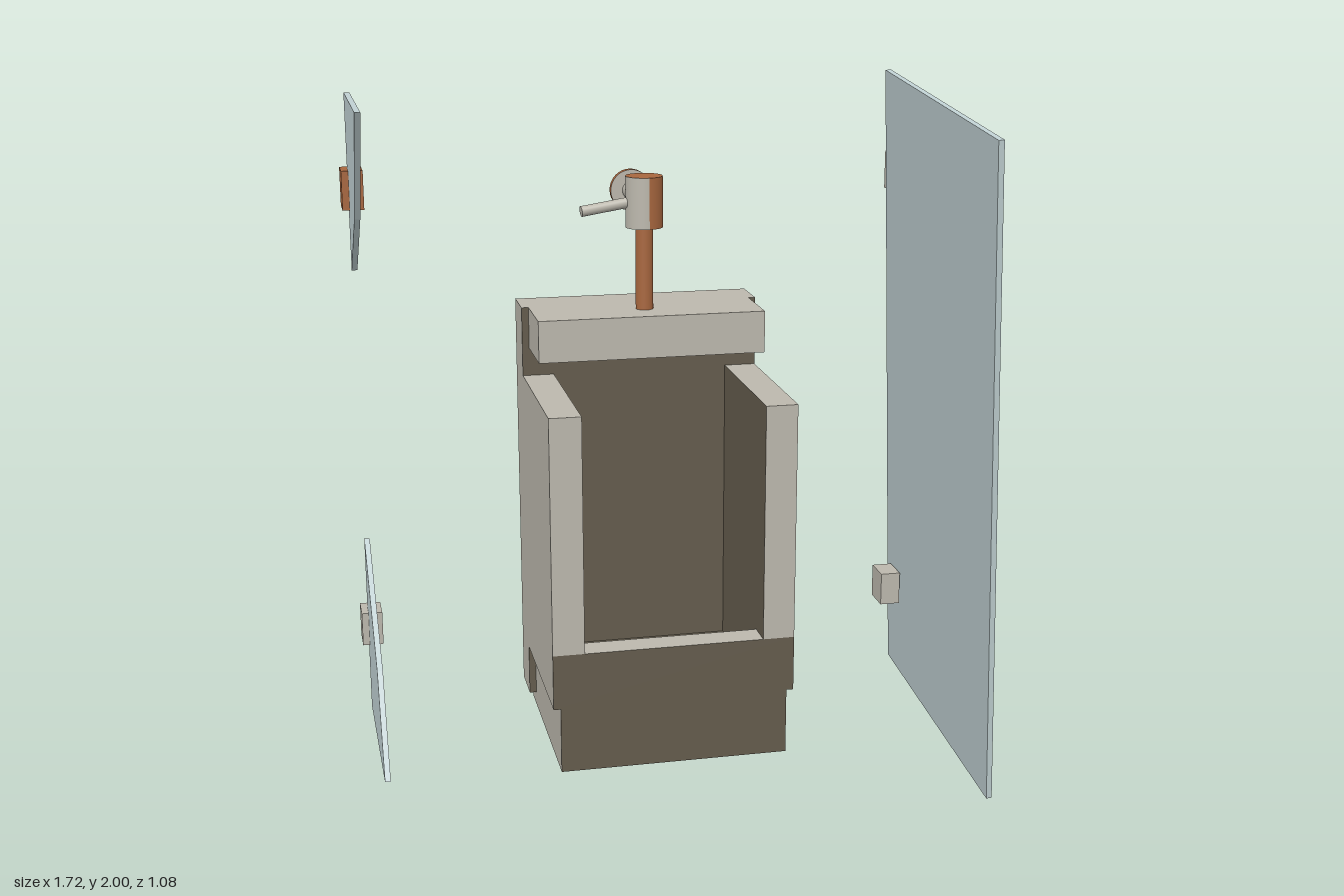
import * as THREE from 'three';

const mat = (name, color, side = THREE.FrontSide) => {
  const m = new THREE.MeshStandardMaterial({ color, side });
  m.name = name;
  return m;
};

export function createModel() {
  const stone = mat('light stone', 0xbcb8ad);
  const dark = mat('dark stone', 0x645c4d);
  const copper = mat('copper', 0xa8673f);
  const glass = mat('pale glass', 0xc0d0d2);

  const root = new THREE.Group();
  const group = (name) => {
    const g = new THREE.Group();
    g.name = name;
    root.add(g);
    return g;
  };
  const add = (parent, name, geometry, material) => {
    const m = new THREE.Mesh(geometry, material);
    m.name = name;
    parent.add(m);
    return m;
  };
  // Box from its extents; faces maps any of px nx py ny pz nz to another material
  const box = (parent, name, [x0, x1], [y0, y1], [z0, z1], base, faces = {}) => {
    const mats = ['px', 'nx', 'py', 'ny', 'pz', 'nz'].map((k) => faces[k] || base);
    const m = add(parent, name, new THREE.BoxGeometry(x1 - x0, y1 - y0, z1 - z0),
      Object.keys(faces).length ? mats : base);
    m.position.set((x0 + x1) / 2, (y0 + y1) / 2, (z0 + z1) / 2);
    return m;
  };
  // Round bar between two points
  const rod = (parent, name, a, b, r, material) => {
    const p = new THREE.Vector3(...a), d = new THREE.Vector3(...b).sub(p);
    const m = add(parent, name, new THREE.CylinderGeometry(r, r, d.length(), 32), material);
    m.position.copy(p).addScaledVector(d, 0.5);
    m.quaternion.setFromUnitVectors(new THREE.Vector3(0, 1, 0), d.normalize());
    return m;
  };

  // Basin cabinet, open at the front above the lip
  const basin = group('basin');
  box(basin, 'plinth', [-0.35, 0.3], [0.12, 0.31], [-0.4, 0.15], stone, { py: dark, ny: dark, pz: dark });
  box(basin, 'backPanel', [-0.37, 0.32], [0.16, 1.35], [-0.46, -0.33], stone, { pz: dark });
  box(basin, 'frontLip', [-0.37, 0.32], [0.31, 0.47], [0.07, 0.15], stone, { pz: dark, nz: dark });
  box(basin, 'topShelf', [-0.35, 0.3], [1.23, 1.35], [-0.33, -0.14], stone);
  for (const [side, x, inner] of [['right', [-0.37, -0.28], 'px'], ['left', [0.23, 0.32], 'nx']]) {
    box(basin, side + 'Wall', x, [0.31, 1.15], [-0.33, 0.07], stone, { [inner]: dark });
    box(basin, side + 'FrontPost', x, [0.47, 1.15], [0.07, 0.15], stone, { [inner]: dark });
  }
  const drain = add(basin, 'drain', new THREE.CylinderGeometry(0.063, 0.063, 0.004, 32), dark);
  drain.position.set(-0.03, 0.312, -0.117);

  // Tap: column, two-coloured head, wall pipe with rosette, lever
  const tap = group('tap');
  const tx = -0.027, tz = -0.25;
  rod(tap, 'tapColumn', [tx, 1.35, tz], [tx, 1.585, tz], 0.025, copper);
  const start = 0.1, sweep = 1.6, r = 0.053;
  const headSide = (name, from, length, m) => {
    const s = add(tap, name, new THREE.CylinderGeometry(r, r, 0.145, 32, 1, true, from, length), m);
    s.position.set(tx, 1.657, tz);
  };
  headSide('tapHeadCopperSide', start, sweep, copper);
  headSide('tapHeadStoneSide', start + sweep, Math.PI * 2 - sweep, stone);
  for (const [name, y, turn, m] of [['tapHeadTop', 1.7295, -1, copper], ['tapHeadBottom', 1.5845, 1, stone]]) {
    const cap = add(tap, name, new THREE.CircleGeometry(r, 32), m);
    cap.position.set(tx, y, tz);
    cap.rotation.x = turn * Math.PI / 2;
  }
  rod(tap, 'wallPipe', [tx, 1.66, tz], [tx, 1.66, -0.44], 0.026, stone);
  rod(tap, 'rosette', [tx, 1.66, -0.44], [tx, 1.66, -0.46], 0.06, [copper, stone, stone]);
  rod(tap, 'lever', [tx, 1.662, -0.254], [-0.21, 1.637, -0.233], 0.015, stone);

  // Large tilted glass pane
  const pane = add(root, 'largePane', new THREE.BoxGeometry(0.016, 1.918, 0.885), glass);
  pane.position.set(0.782, 1.002, 0);
  pane.rotation.set(0.105, 0, 0.071, 'ZXY');

  // Broken glass shards, outlined in (z, y)
  const shard = (name, points) => {
    const shape = new THREE.Shape(points.map(([z, y]) => new THREE.Vector2(-z, y)));
    const geo = new THREE.ExtrudeGeometry(shape, { depth: 0.016, bevelEnabled: false });
    geo.rotateY(Math.PI / 2).translate(-0.84, 0, 0);
    add(root, name, geo, glass);
  };
  shard('upperShard', [[-0.425, 1.96], [0.07, 1.96], [-0.155, 1.65], [-0.425, 1.46]]);
  shard('lowerShard', [[-0.425, 0.12], [0.11, 0.12], [-0.04, 0.39], [-0.425, 0.655]]);

  // Wall clips holding the glass
  const clips = group('clips');
  for (const [level, y] of [['upper', [1.64, 1.75]], ['lower', [0.34, 0.44]]]) {
    box(clips, level + 'LeftClip', [0.75, 0.81], y, [-0.46, -0.37], stone);
    const upper = level === 'upper';
    box(clips, level + 'RightClip', [-0.86, -0.8], y, [-0.46, -0.37],
      upper ? copper : stone, upper ? {} : { px: copper });
  }
  return root;
}
